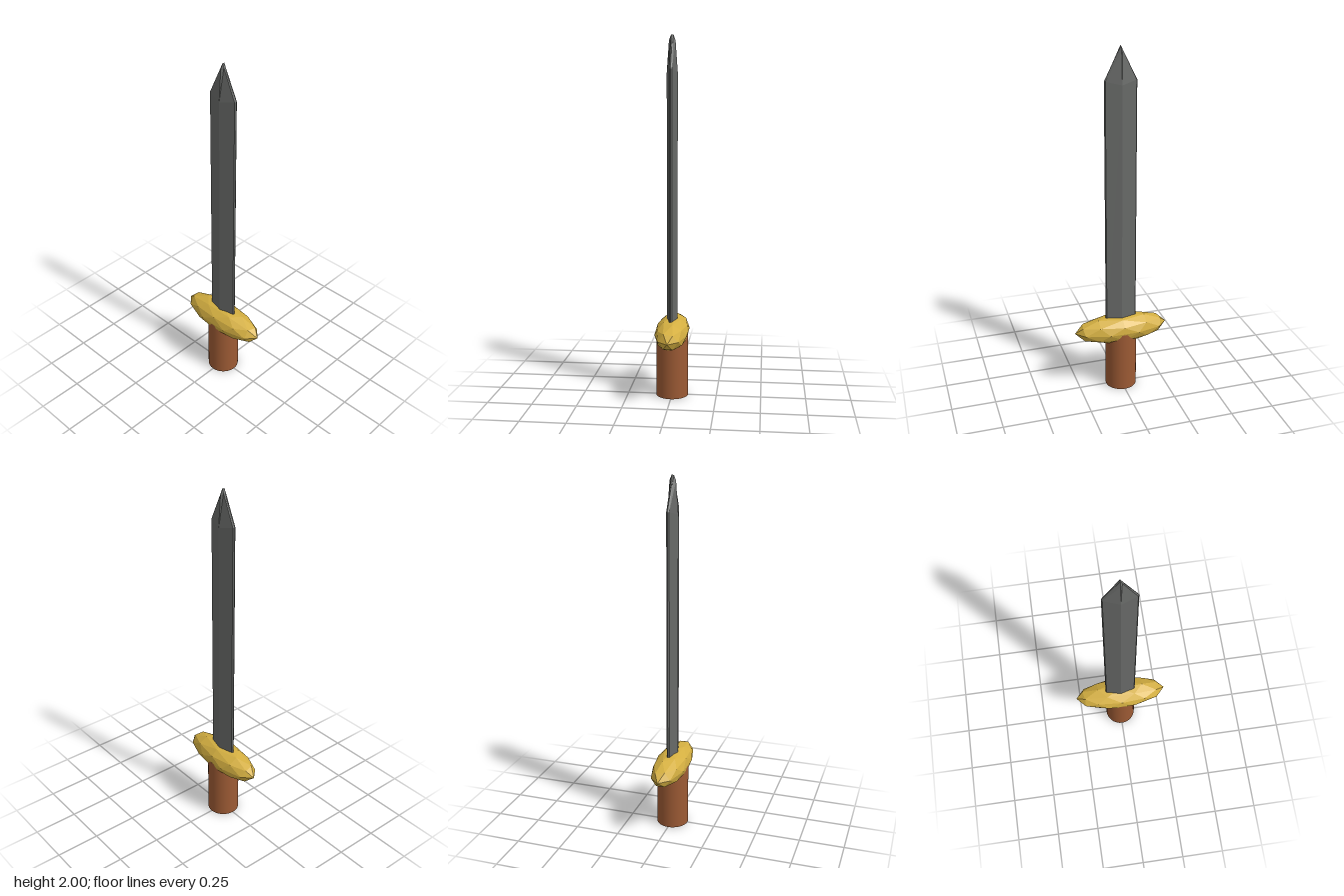
import * as THREE from 'three';

const material = (color, flatShading) => new THREE.MeshStandardMaterial({ color, flatShading });

function addPart(group, name, geometry, mat, y) {
  const mesh = new THREE.Mesh(geometry, mat);
  mesh.name = name;
  mesh.position.y = y;
  group.add(mesh);
}

// Diamond cross-sections with bevelled cutting edges, joined in loops
function bladeGeometry() {
  // y at the edge, y at the central ridge, half thickness, bevel half thickness, half width
  const sections = [
    [0.36, 0.36, 0.03, 0.008, 0.09],
    [1.82, 1.80, 0.03, 0.008, 0.09],
    [1.98, 1.97, 0.018, 0.006, 0.01],
    [2.0, 2.0, 0.007, 0.004, 0],
  ];
  const positions = [], indices = [];
  for (const [y, ridgeY, w, e, d] of sections) {
    const k = d * 0.94;
    const loop = [[w, 0], [e, -k], [0, -d], [-e, -k], [-w, 0], [-e, k], [0, d], [e, k]];
    loop.forEach(([x, z], i) => positions.push(x, i % 4 === 0 ? ridgeY : y, z));
  }
  const n = 8;
  for (let r = 0; r < sections.length - 1; r++) {
    for (let i = 0; i < n; i++) {
      const a = r * n + i, b = r * n + (i + 1) % n;
      indices.push(a, b, b + n, a, b + n, a + n);
    }
  }
  // Bottom cap
  for (let i = 1; i < n - 1; i++) indices.push(0, i + 1, i);
  const geometry = new THREE.BufferGeometry();
  geometry.setAttribute('position', new THREE.Float32BufferAttribute(positions, 3));
  geometry.setIndex(indices);
  geometry.computeVertexNormals();
  return geometry;
}

export function createModel() {
  const sword = new THREE.Group();
  sword.name = 'sword';

  // Round grip
  addPart(sword, 'grip', new THREE.CylinderGeometry(0.09, 0.09, 0.36, 32), material(0x9c5a34, false), 0.18);

  // Faceted guard: an icosphere with a corner pointing up, stretched along z
  const guard = new THREE.IcosahedronGeometry(1, 1);
  guard.rotateZ(-Math.atan(2 / (1 + Math.sqrt(5))));
  guard.scale(0.095, 0.083, 0.273);
  addPart(sword, 'guard', guard, material(0xd4af41, true), 0.367);

  // Blade with a tapered point
  addPart(sword, 'blade', bladeGeometry(), material(0x686a68, true), 0);

  return sword;
}
